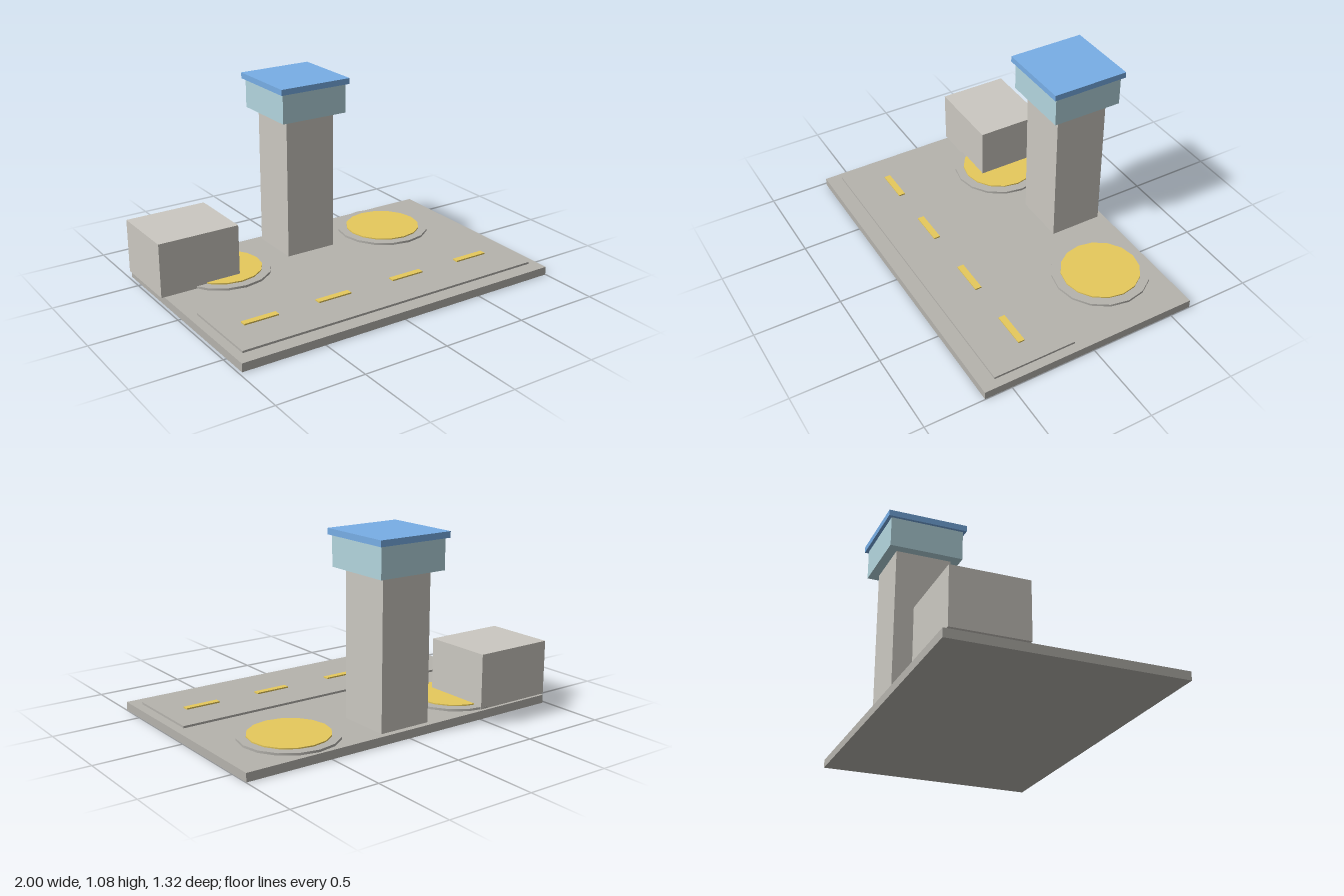
import * as THREE from 'three';

const material = (color) => new THREE.MeshStandardMaterial({ color });
const concrete = material(0xb5b3ad);
const wall = material(0xcbc8c1);
const yellow = material(0xe6c95c);
const glass = material(0xb3d5de);
const blue = material(0x78aee6);

// Box given by its limits along each axis
function block(name, [x0, x1], [y0, y1], [z0, z1], mat) {
  const mesh = new THREE.Mesh(new THREE.BoxGeometry(x1 - x0, y1 - y0, z1 - z0), mat);
  mesh.position.set((x0 + x1) / 2, (y0 + y1) / 2, (z0 + z1) / 2);
  mesh.name = name;
  return mesh;
}

// Low 16-sided disc
function disc(name, radius, y0, y1, mat) {
  const mesh = new THREE.Mesh(new THREE.CylinderGeometry(radius, radius, y1 - y0, 16), mat);
  mesh.position.y = (y0 + y1) / 2;
  mesh.name = name;
  return mesh;
}

export function createModel() {
  const model = new THREE.Group();
  model.name = 'airfield';
  const ground = 0.048;

  model.add(block('basePlate', [-0.982, 0.998], [0, ground], [-0.625, 0.657], concrete));

  // Runway with its dashed centre line
  const runway = new THREE.Group();
  runway.name = 'runway';
  runway.add(block('runwayStrip', [-0.93, 0.945], [ground, 0.06], [0.088, 0.571], concrete));
  for (const x of [-0.69, -0.237, 0.248, 0.703]) {
    runway.add(block('centreDash', [x - 0.103, x + 0.103], [0.06, 0.068], [0.309, 0.346], yellow));
  }
  model.add(runway);

  // Two round landing pads
  for (const x of [-0.552, 0.563]) {
    const pad = new THREE.Group();
    pad.name = 'landingPad';
    pad.add(disc('padRim', 0.276, ground, 0.061, concrete));
    pad.add(disc('padCentre', 0.224, 0.061, 0.068, yellow));
    pad.position.set(x, 0, -0.333);
    model.add(pad);
  }

  // Control tower
  const tower = new THREE.Group();
  tower.name = 'controlTower';
  tower.add(block('towerShaft', [-0.148, 0.162], [ground, 0.875], [-0.59, -0.28], wall));
  tower.add(block('towerCabin', [-0.2, 0.214], [0.875, 1.045], [-0.641, -0.229], glass));
  tower.add(block('towerRoof', [-0.217, 0.231], [1.045, 1.079], [-0.66, -0.212], blue));
  model.add(tower);

  model.add(block('hangar', [-1, -0.519], [ground, 0.361], [-0.607, -0.195], wall));
  return model;
}
